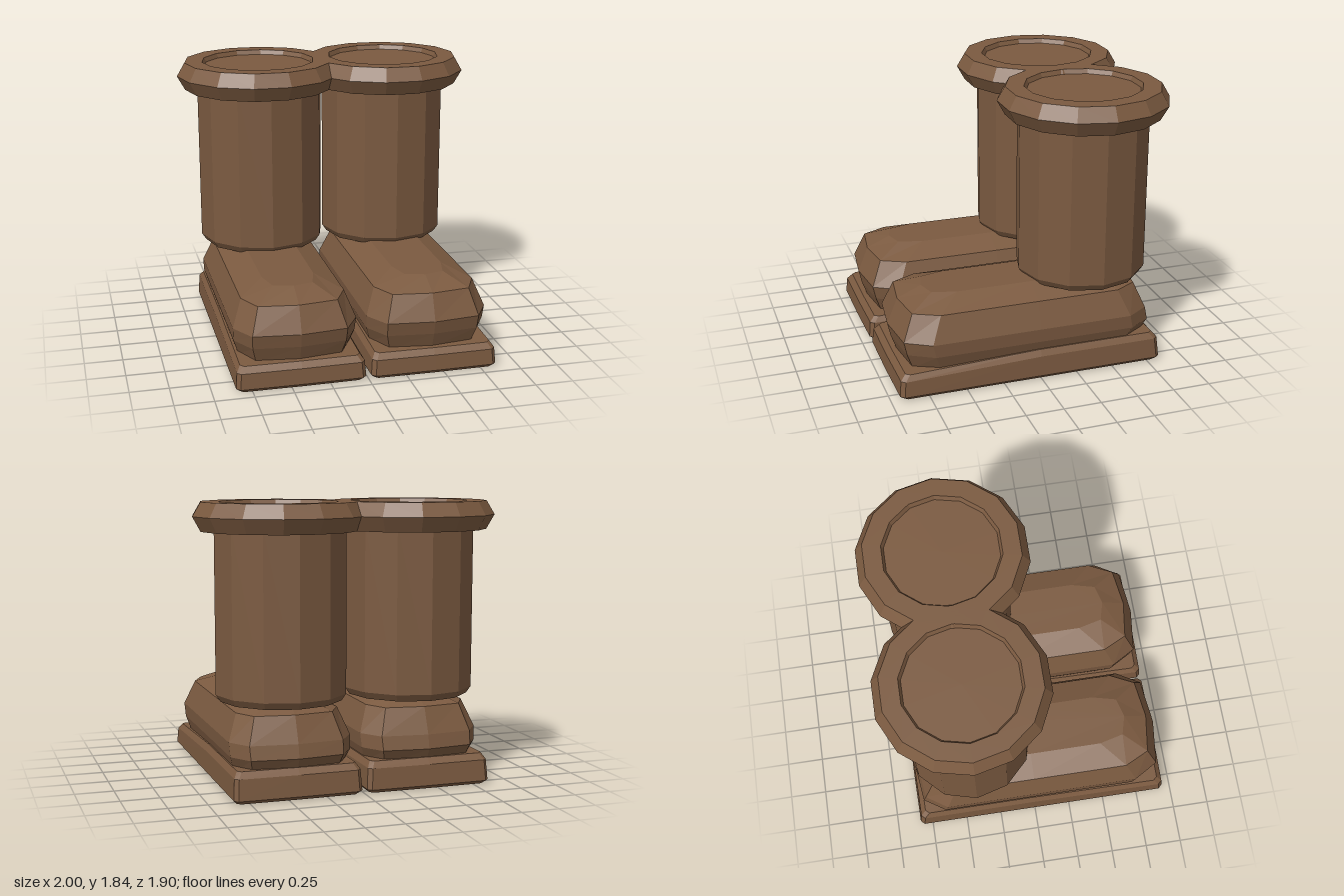
import * as THREE from 'three';

const leather = new THREE.MeshStandardMaterial({ color: 0x7b5a40 });
leather.name = 'brown leather';

// Faceted mesh: every face gets its own normal
function facetedMesh(name, geometry) {
  const flat = geometry.index ? geometry.toNonIndexed() : geometry;
  flat.computeVertexNormals();
  const mesh = new THREE.Mesh(flat, leather);
  mesh.name = name;
  return mesh;
}

function turned(name, profile, sides) {
  const points = profile.map(([r, y]) => new THREE.Vector2(r, y));
  const geometry = new THREE.LatheGeometry(points, sides);
  geometry.rotateY(Math.PI / 2);
  return facetedMesh(name, geometry);
}

// Foot-shaped outline with cut corners, counterclockwise from above
function outline({ y, half, front, back, drop = 0 }, inset, cutFront, cutBack, bow) {
  const side = [
    [0, front],
    [half * inset, front - bow],
    [half, front - cutFront],
    [half, 0],
    [half, back + cutBack],
    [half * inset, back + bow],
    [0, back],
  ];
  const mirrored = side.slice(1, -1).reverse().map(([x, z]) => [-x, z]);
  return [...side, ...mirrored].map(([x, z]) => [x, y - drop * Math.max(0, z), z]);
}

// Skin stacked outlines and close both ends
function loft(name, rings) {
  const n = rings[0].length;
  const positions = rings.flat(2);
  const index = [];
  for (let i = 0; i < rings.length - 1; i++) {
    for (let j = 0; j < n; j++) {
      const a = i * n + j, b = i * n + (j + 1) % n;
      index.push(a, b, b + n, a, b + n, a + n);
    }
  }
  const top = (rings.length - 1) * n;
  for (let j = 1; j < n - 1; j++) {
    index.push(0, j + 1, j);
    index.push(top, top + j, top + j + 1);
  }
  const geometry = new THREE.BufferGeometry();
  geometry.setAttribute('position', new THREE.Float32BufferAttribute(positions, 3));
  geometry.setIndex(index);
  return facetedMesh(name, geometry);
}

function createBoot(name, side) {
  const boot = new THREE.Group();
  boot.name = name;

  // Slab sole, thinner towards the toe
  const sole = loft('sole', [
    { y: 0.01, half: 0.395, front: 0.92, back: -0.81 },
    { y: 0.035, half: 0.418, front: 0.945, back: -0.84 },
    { y: 0.17, half: 0.41, front: 0.935, back: -0.825, drop: 0.035 },
    { y: 0.21, half: 0.385, front: 0.9, back: -0.79, drop: 0.04 },
  ].map((ring) => outline(ring, 0.94, 0.03, 0.03, 0.004)));
  sole.position.x = side * 0.435;

  // Rounded foot from heel to toe
  const foot = loft('foot', [
    { y: 0.16, half: 0.36, front: 0.86, back: -0.76 },
    { y: 0.27, half: 0.395, front: 0.9, back: -0.82 },
    { y: 0.36, half: 0.4, front: 0.92, back: -0.8 },
    { y: 0.53, half: 0.335, front: 0.85, back: -0.73 },
    { y: 0.6, half: 0.17, front: 0.69, back: -0.58 },
  ].map((ring) => outline(ring, 0.76, 0.2, 0.18, 0.035)));
  foot.position.x = side * 0.435;

  // Upright shaft with a bevelled lower edge
  const shaft = turned('shaft', [[0, 0.58], [0.4, 0.58], [0.43, 0.625], [0.43, 1.7]], 12);
  shaft.position.set(side * 0.435, 0, -0.41);

  // Flared collar around a shallow opening
  const collar = turned('collar', [
    [0.4, 1.66], [0.505, 1.66], [0.558, 1.755], [0.505, 1.845],
    [0.385, 1.845], [0.37, 1.815], [0, 1.815],
  ], 14);
  collar.position.set(side * 0.443, 0, -0.41);

  boot.add(sole, foot, shaft, collar);
  return boot;
}

export function createModel() {
  const model = new THREE.Group();
  model.name = 'pair of boots';
  model.add(createBoot('leftBoot', 1), createBoot('rightBoot', -1));
  return model;
}
